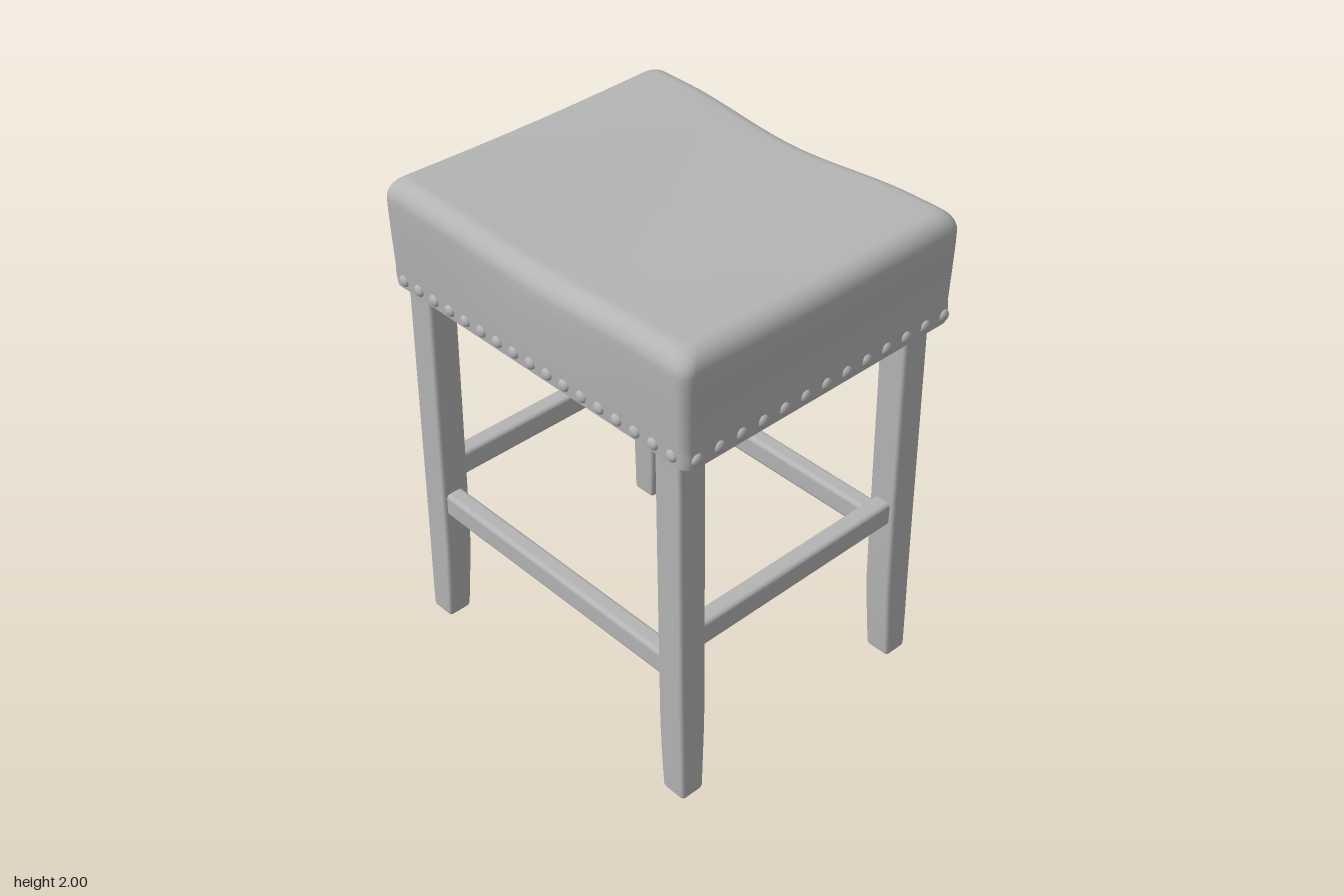
import * as THREE from 'three';

const grey = new THREE.MeshStandardMaterial({ color: 0xb4b4b4 });
grey.name = 'soft grey';

// Skins a stack of closed rings (counter-clockwise seen from above, bottom to top)
function loft(rings) {
  const n = rings[0].length, index = [];
  for (let r = 0; r < rings.length - 1; r++) {
    for (let i = 0; i < n; i++) {
      const a = r * n + i, b = r * n + (i + 1) % n;
      index.push(a, b, b + n, a, b + n, a + n);
    }
  }
  const geo = new THREE.BufferGeometry();
  geo.setAttribute('position', new THREE.Float32BufferAttribute(rings.flat(2), 3));
  geo.setIndex(index);
  geo.computeVertexNormals();
  return geo;
}

// Rounded rectangle outline in [x, z], with subdivided straight sides
function outline(w, d, radius, steps = 1, arc = 4) {
  const corners = [[1, 1, 0], [-1, 1, 1], [-1, -1, 2], [1, -1, 3]];
  const curved = corners.map(([sx, sz, q]) => Array.from({ length: arc + 1 }, (_, i) => {
    const t = (q + i / arc) * Math.PI / 2;
    return [sx * (w - radius) + radius * Math.cos(t), sz * (d - radius) + radius * Math.sin(t)];
  }));
  const pts = [];
  curved.forEach((c, k) => {
    pts.push(...c);
    const a = c[arc], b = curved[(k + 1) % 4][0];
    for (let i = 1; i < steps; i++) {
      const t = i / steps;
      pts.push([a[0] + (b[0] - a[0]) * t, a[1] + (b[1] - a[1]) * t]);
    }
  });
  return pts.reverse();
}

function add(parent, name, geo) {
  const mesh = new THREE.Mesh(geo, grey);
  mesh.name = name;
  parent.add(mesh);
  return mesh;
}

const BASE = 1.56;
const dip = x => (1 + Math.cos(Math.PI * Math.min(1, Math.abs(x) / 0.58))) / 2;
const topY = (x, z) => 2 - 0.031 * dip(x) - 0.012 * Math.cos(z / 0.65 * Math.PI / 2);

// Saddle cushion: side walls, rounded rim, then shrinking rings across the top
function cushion() {
  const rings = [];
  const ring = (w, d, r, f) => rings.push(outline(w, d, r, 24, 6).map(([x, z]) => {
    const y = BASE + f * (topY(x, z) - BASE);
    return [x, y, z * (1 - 0.025 * dip(x) * f * f)];
  }));
  ring(0.765, 0.637, 0.04, 0);
  ring(0.768, 0.64, 0.04, 0.1);
  ring(0.762, 0.643, 0.04, 0.2);
  ring(0.765, 0.65, 0.045, 0.5);
  ring(0.768, 0.654, 0.05, 0.72);
  for (let i = 0; i <= 8; i++) {
    const t = i / 8 * Math.PI / 2, inset = 0.075 * (1 - Math.cos(t));
    ring(0.768 - inset, 0.654 - inset, 0.05, 0.82 + 0.18 * Math.sin(t));
  }
  for (let i = 1; i <= 14; i++) {
    const s = Math.max(0.001, 1 - i / 14);
    ring(0.693 * s, 0.579 * s, 0.05 * s, 1);
  }
  return loft(rings);
}

// Tapered leg for the +x +z corner; the inner faces curve in near the foot
function legGeometry(sx, sz) {
  const levels = [ // y, inner x, outer x, inner z, outer z
    [0, 0.628, 0.733, 0.505, 0.604], [0.012, 0.625, 0.735, 0.502, 0.606],
    [0.15, 0.616, 0.732, 0.496, 0.607], [0.32, 0.607, 0.728, 0.488, 0.607],
    [0.6, 0.602, 0.723, 0.486, 0.607], [1.1, 0.594, 0.716, 0.485, 0.607],
    [1.57, 0.587, 0.709, 0.484, 0.607],
  ];
  const rings = levels.map(([y, x0, x1, z0, z1]) =>
    outline((x1 - x0) / 2, (z1 - z0) / 2, 0.014, 1, 3)
      .map(([x, z]) => [sx * (x0 + x1) / 2 + x, y, sz * (z0 + z1) / 2 + z]));
  return loft(rings);
}

// Bar with rounded edges, running along z
function barGeometry(length) {
  const shape = new THREE.Shape(outline(0.038, 0.052, 0.018).map(p => new THREE.Vector2(...p)));
  return new THREE.ExtrudeGeometry(shape, { depth: length, bevelEnabled: false })
    .translate(0, 0, -length / 2);
}

export function createModel() {
  const stool = new THREE.Group();
  stool.name = 'stool';

  // Seat
  const seat = new THREE.Group();
  seat.name = 'seat';
  stool.add(seat);
  add(seat, 'cushion', cushion());
  const under = add(seat, 'seatUnderside', new THREE.PlaneGeometry(1.52, 1.265));
  under.rotation.x = Math.PI / 2;
  under.position.y = BASE + 0.001;

  // Domed nail heads around the lower edge
  const nails = new THREE.Group();
  nails.name = 'nailHeads';
  seat.add(nails);
  const dome = new THREE.SphereGeometry(0.024, 12, 6, 0, Math.PI * 2, 0, Math.PI / 2)
    .scale(1, 0.65, 1).rotateX(Math.PI / 2);
  const row = (count, reach, out, turn) => {
    for (let i = 0; i < count; i++) {
      const pivot = new THREE.Group();
      pivot.name = 'nail';
      pivot.rotation.y = turn;
      add(pivot, 'nailHead', dome).position.set(-reach + 2 * reach * i / (count - 1), 1.597, out);
      nails.add(pivot);
    }
  };
  for (const turn of [0, Math.PI]) {
    row(17, 0.695, 0.638, turn);
    row(13, 0.595, 0.765, turn + Math.PI / 2);
  }

  // Legs and stretchers
  const frame = new THREE.Group();
  frame.name = 'frame';
  frame.position.x = -0.012;
  stool.add(frame);
  for (const sx of [1, -1]) {
    for (const sz of [1, -1]) {
      const name = (sz > 0 ? 'front' : 'back') + (sx > 0 ? 'Left' : 'Right');
      add(frame, name + 'Leg', legGeometry(sx, sz));
      const foot = add(frame, name + 'Foot', new THREE.PlaneGeometry(0.1, 0.094));
      foot.rotation.x = Math.PI / 2;
      foot.position.set(sx * 0.68, 0.001, sz * 0.5545);
    }
    add(frame, sx > 0 ? 'leftStretcher' : 'rightStretcher', barGeometry(0.99))
      .position.set(sx * 0.662, 0.71, 0);
    const cross = add(frame, sx > 0 ? 'frontStretcher' : 'backStretcher', barGeometry(1.22));
    cross.rotation.y = Math.PI / 2;
    cross.position.set(0, 0.58, sx * 0.555);
  }
  return stool;
}
